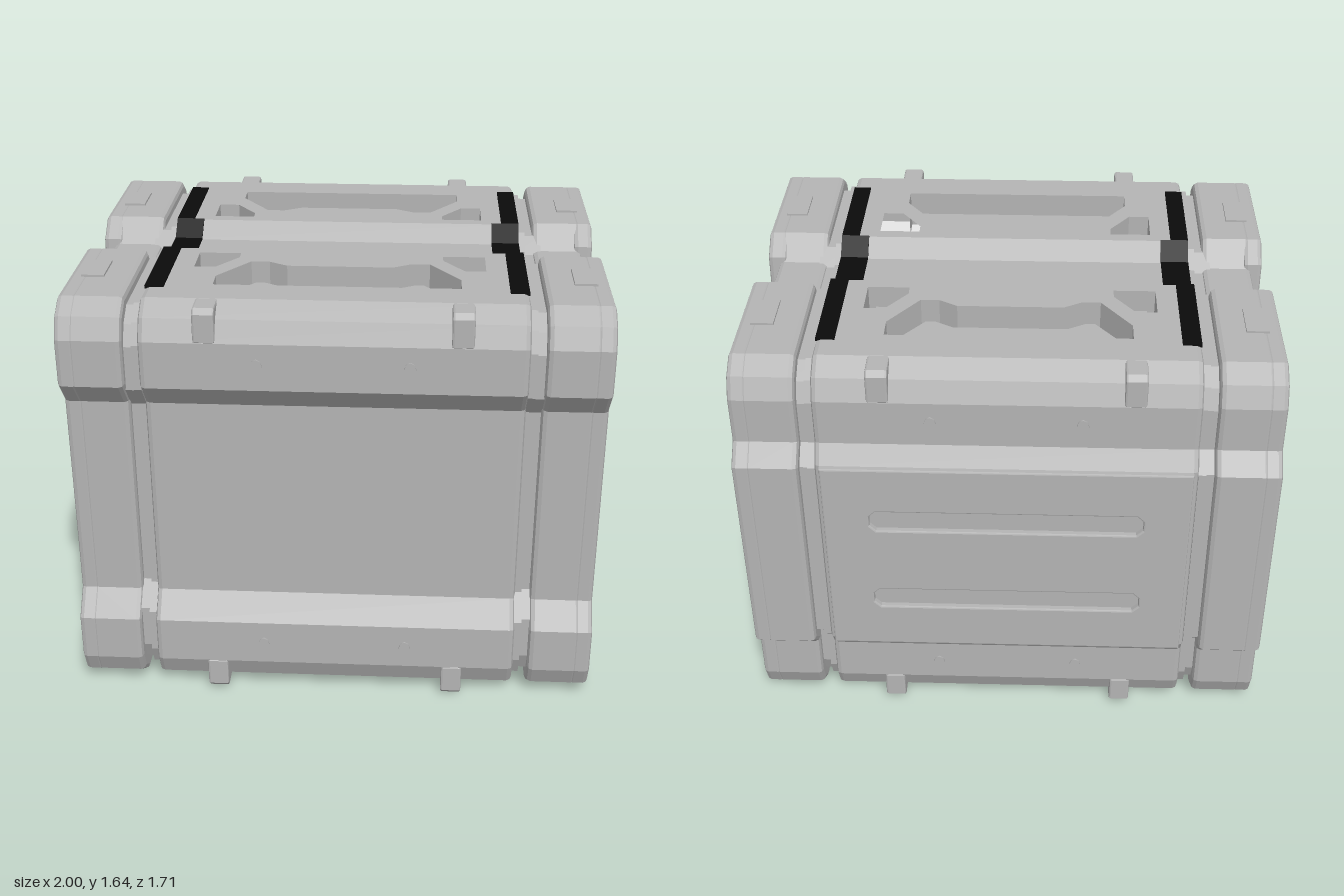
import * as THREE from 'three';

const grey = new THREE.MeshStandardMaterial({ color: 0xb4b4b4 });
grey.name = 'greyShell';
const black = new THREE.MeshStandardMaterial({ color: 0x0a0a0a });
black.name = 'blackTrim';
const white = new THREE.MeshStandardMaterial({ color: 0xffffff });
white.name = 'whiteLight';

// All parts are laid out around the middle of the crate.
const MID_Y = 0.8125, MID_Z = 0.035;

function add(parent, name, geometry, material = grey) {
  const mesh = new THREE.Mesh(geometry, material);
  mesh.name = name;
  parent.add(mesh);
  return mesh;
}

function box(w, h, d, x, y, z) {
  return new THREE.BoxGeometry(w, h, d).translate(x, y, z);
}

const vectors = (points) => points.map(([a, b]) => new THREE.Vector2(a, b));

function extrude(outline, holes, depth, bevel) {
  const shape = new THREE.Shape(vectors(outline));
  for (const h of holes) shape.holes.push(new THREE.Path(vectors(h)));
  return new THREE.ExtrudeGeometry(shape, {
    depth: depth - 2 * bevel, bevelEnabled: bevel > 0, bevelThickness: bevel,
    bevelSize: bevel, bevelOffset: -bevel, bevelSegments: 2,
  }).translate(0, 0, bevel);
}

// Outline of [z, y] points, extruded from x0 to x1
function alongX(points, x0, x1, bevel = 0, holes = []) {
  const flip = (list) => list.map(([z, y]) => [-z, y]);
  return extrude(flip(points), holes.map(flip), x1 - x0, bevel)
    .rotateY(Math.PI / 2).translate(x0, 0, 0);
}

// Outline of [x, z] points, extruded upward from y0 to y1
function alongY(points, y0, y1, holes = [], bevel = 0) {
  const flip = (list) => list.map(([x, z]) => [x, -z]);
  return extrude(flip(points), holes.map(flip), y1 - y0, bevel)
    .rotateX(-Math.PI / 2).translate(0, y0, 0);
}

// Adds the reflection of a half outline
const mirrorY = (half) => [...half, ...half.map(([z, y]) => [z, -y]).reverse()];
const mirrorFirst = (half) => [...half, ...half.map(([a, b]) => [-a, b]).reverse()];

// Side outline of the crate: notch points go from the front half, back wall depth varies
function profile(notch, back) {
  const top = mirrorFirst([[0.815, 0.5], [0.815, 0.68], [0.78, 0.76], [0.705, 0.81], ...notch]);
  return mirrorY([[0.735, 0.405], ...top, [-back, 0.43]]);
}

function mirrorX(geometry) {
  const g = geometry.index ? geometry.toNonIndexed() : geometry.clone();
  g.scale(-1, 1, 1);
  for (const attribute of Object.values(g.attributes)) {
    const { array, itemSize: n } = attribute;
    for (let i = 0; i < array.length; i += 3 * n) {
      for (let k = 0; k < n; k++) {
        const keep = array[i + n + k];
        array[i + n + k] = array[i + 2 * n + k];
        array[i + 2 * n + k] = keep;
      }
    }
  }
  return g;
}

const rectangle = (a0, a1, b0, b1) => [[a0, b0], [a1, b0], [a1, b1], [a0, b1]];

function octagon(a, b, w, h, c) {
  const half = mirrorFirst([[w / 2, h / 2 - c], [w / 2 - c, h / 2]]);
  return mirrorY(half).map(([p, q]) => [p + a, q + b]);
}

// Pockets and lights in the upper panel; also used upside down below
function buildPanel() {
  const panel = new THREE.Group();
  for (const s of [-1, 1]) {
    const place = (list, sx = 1) => list.map(([x, z]) => [x * sx, z * s]);
    const grip = place(mirrorFirst([[0.455, 0.565], [0.455, 0.475], [0.34, 0.315], [0.27, 0.315], [0.2, 0.355]]));
    const gripPad = place(mirrorFirst([[0.405, 0.515], [0.405, 0.465], [0.32, 0.355], [0.285, 0.355], [0.215, 0.395]]));
    const port = [[0.55, 0.38], [0.47, 0.38], [0.39, 0.27], [0.39, 0.225], [0.55, 0.225]];
    const portPad = [[0.52, 0.35], [0.485, 0.35], [0.42, 0.265], [0.42, 0.255], [0.52, 0.255]];
    add(panel, 'pocketPlate', alongY(rectangle(-0.68, 0.68, s * 0.2, s * 0.61), 0.645, 0.81,
      [grip, place(port), place(port, -1)]));
    add(panel, 'lightFloor', box(1.25, 0.01, 0.38, 0, 0.657, s * 0.4), white);
    add(panel, 'gripPad', alongY(gripPad, 0.655, 0.74));
    for (const sx of [-1, 1]) {
      add(panel, 'portPad', alongY(place(portPad, sx), 0.655, 0.74));
      // raised pads on the end caps
      add(panel, 'capPad', box(0.085, 0.016, 0.165, sx * 0.91, 0.81, s * 0.43));
    }
  }
  // black seals following the central channel
  const strip = (points) => [...points, ...points.map(([z, y]) => [z, y - 0.012]).reverse()];
  const channel = mirrorFirst([[0.175, 0.815], [0.1, 0.756]]);
  const seal = alongX(strip([[0.605, 0.815], ...channel, [-0.605, 0.815]]), 0.63, 0.7);
  const wideSeal = alongX(strip(channel), 0.59, 0.64);
  for (const g of [seal, wideSeal]) {
    add(panel, 'seal', g, black);
    add(panel, 'seal', mirrorX(g), black);
  }
  return panel;
}

// One end cap at +x, mirrored for the other end
function endCapParts() {
  const parts = [];
  const put = (name, geometry, material = grey) => parts.push([name, geometry, material]);
  const circle = [];
  for (let i = 0; i < 32; i++) {
    const a = i / 32 * Math.PI * 2;
    circle.push([0.47 * Math.cos(a), 0.47 * Math.sin(a)]);
  }
  put('capBlock', alongX(profile([[0.2, 0.81], [0.115, 0.72]], 0.885), 0.757, 0.955, 0.02, [circle]));

  // raised rim around the recessed face, with a slot at the back
  const recess = mirrorY([[0.605, 0.4], [0.695, 0.49],
    ...mirrorFirst([[0.695, 0.69], [0.64, 0.755], [0.205, 0.755], [0.175, 0.72], [0.175, 0.62], [0.115, 0.56]]).slice(0, -2),
    [-0.64, 0.755], [-0.715, 0.69], [-0.715, 0.49], [-0.625, 0.4]]);
  put('capRim', alongX(profile([[0.2, 0.81], [0.115, 0.74], [0.105, 0.6]], 0.885),
    0.925, 1, 0.018, [recess, octagon(-0.72, 0, 0.13, 0.7, 0.045)]));

  // round hub: ring, conical dish and raised centre
  const hub = [[0, 0.97], [0.27, 0.97], [0.285, 0.96], [0.345, 0.88], [0.36, 0.88],
    [0.43, 0.975], [0.45, 0.985], [0.51, 0.985], [0.55, 0.945]];
  const outward = hub.map(([r, x]) => new THREE.Vector2(r, x)).reverse();
  put('hub', new THREE.LatheGeometry(outward, 32).toNonIndexed().rotateZ(-Math.PI / 2));

  // diagonal braces with black sockets, and small side tabs
  for (const sz of [-1, 1]) {
    for (const sy of [-1, 1]) {
      const angle = Math.atan2(sy * 0.545, sz * 0.43);
      const turn = (g) => g.rotateX(-angle);
      put('brace', turn(box(0.04, 0.11, 0.25, 0.96, 0, 0.64)));
      if (!(sz > 0 && sy < 0)) put('socket', turn(box(0.006, 0.036, 0.036, 0.982, 0, 0.695)), black);
      put('sideTab', box(0.03, 0.1, 0.03, 0.965, sy * 0.375, sz * 0.575));
    }
  }
  return parts;
}

export function createModel() {
  const model = new THREE.Group();
  model.name = 'storageCrate';
  const crate = new THREE.Group();
  crate.name = 'crate';
  crate.position.set(0, MID_Y, MID_Z);
  model.add(crate);

  // main shell with pockets left open for the panels
  const channel = [[0.6, 0.81], [0.6, 0.65], [0.21, 0.65], [0.21, 0.81], [0.175, 0.81], [0.1, 0.75]];
  add(crate, 'bodyShell', alongX(profile(channel, 0.862), -0.7, 0.7, 0.02));

  // narrow neck between the body and the caps
  const neck = profile([[0.175, 0.81], [0.1, 0.75]], 0.885).map(([z, y]) => [z * 0.95, y * 0.945]);
  const collar = neck.map(([z, y]) => [z * 1.018, y * 1.018]);
  for (const s of [-1, 1]) {
    add(crate, 'neck', alongX(neck, s * 0.73 - 0.06, s * 0.73 + 0.06));
    add(crate, 'collar', alongX(collar, s * 0.712 - 0.014, s * 0.712 + 0.014));
  }

  // back plate with two long slots
  const slots = [-0.19, 0.19].map((y) => octagon(0, y, 1.02, 0.09, 0.025));
  add(crate, 'backPlate', extrude(rectangle(-0.68, 0.68, -0.43, 0.43), slots, 0.03, 0.006)
    .translate(0, 0, -0.885));

  // upper and lower panels
  const top = buildPanel();
  top.name = 'topPanel';
  const bottom = buildPanel();
  bottom.name = 'bottomPanel';
  bottom.rotation.x = Math.PI;
  crate.add(top, bottom);

  // corner latches and bolts
  for (const sx of [-1, 1]) {
    for (const sy of [-1, 1]) {
      for (const sz of [-1, 1]) {
        const latch = octagon(sz * 0.742, sy * 0.737, 0.15, 0.145, 0.02);
        add(crate, 'latch', alongX(latch, sx * 0.46 - 0.04, sx * 0.46 + 0.04, 0.008));
        add(crate, 'bolt', new THREE.CylinderGeometry(0.022, 0.022, 0.012, 8)
          .rotateX(Math.PI / 2).scale(1, 1.3, 1).translate(sx * 0.275, sy * 0.595, sz * 0.815));
      }
    }
  }

  // both end caps
  for (const side of ['left', 'right']) {
    const cap = new THREE.Group();
    cap.name = side + 'EndCap';
    for (const [name, geometry, material] of endCapParts()) {
      add(cap, name, side === 'left' ? geometry : mirrorX(geometry), material);
    }
    crate.add(cap);
  }
  return model;
}
